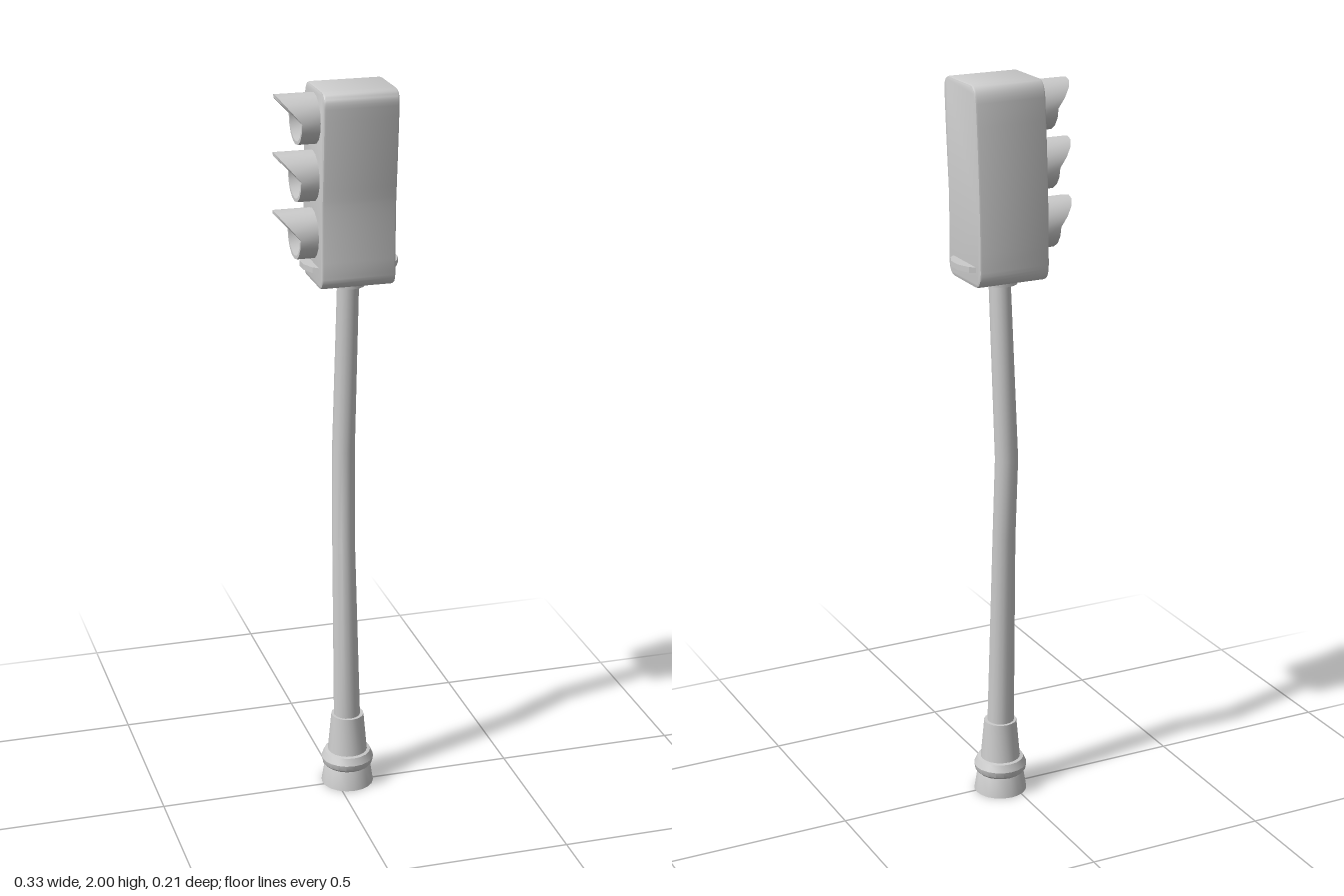
import * as THREE from 'three';
import { toCreasedNormals } from 'three/addons/utils/BufferGeometryUtils.js';

const material = new THREE.MeshStandardMaterial({ color: 0xcccccc });
const openMaterial = new THREE.MeshStandardMaterial({ color: 0xcccccc, side: THREE.DoubleSide });
const AXIS_X = 0.032, AXIS_Z = -0.01;

function addMesh(parent, name, geometry, mat = material) {
  const mesh = new THREE.Mesh(geometry, mat);
  mesh.name = name;
  parent.add(mesh);
  return mesh;
}

function lathe(points, segments) {
  return toCreasedNormals(new THREE.LatheGeometry(points.map(([r, y]) => new THREE.Vector2(r, y)), segments), 0.6);
}

// Tapered pole whose rings follow a bent centre line: [x, y, z, radius]
function poleGeometry() {
  const rings = [
    [0.032, 0.19, -0.01, 0.037], [0.021, 0.75, -0.01, 0.031],
    [0.031, 0.99, -0.046, 0.031], [0.032, 1.47, -0.008, 0.029],
  ];
  const geometry = new THREE.CylinderGeometry(1, 1, 1, 16, rings.length - 1, true);
  const p = geometry.attributes.position;
  for (let i = 0; i < p.count; i++) {
    const [x, y, z, r] = rings[Math.round((p.getY(i) + 0.5) * (rings.length - 1))];
    p.setXYZ(i, x + p.getX(i) * r, y, z + p.getZ(i) * r);
  }
  geometry.computeVertexNormals();
  return toCreasedNormals(geometry, 0.6);
}

// Leaning housing: side outline (-z, y) extruded along x with a small bevel
function housingGeometry() {
  const b = 0.006;
  const s = new THREE.Shape();
  s.moveTo(-0.05, 1.486);
  s.lineTo(0.07, 1.486);
  s.quadraticCurveTo(0.099, 1.486, 0.099, 1.525);
  s.quadraticCurveTo(0.097, 1.72, 0.075, 1.955);
  s.quadraticCurveTo(0.07, 1.994, 0.045, 1.994);
  s.lineTo(-0.075, 1.994);
  s.quadraticCurveTo(-0.104, 1.994, -0.101, 1.96);
  s.quadraticCurveTo(-0.093, 1.84, -0.081, 1.72);
  s.quadraticCurveTo(-0.077, 1.67, -0.079, 1.52);
  s.quadraticCurveTo(-0.079, 1.486, -0.05, 1.486);
  const geometry = new THREE.ExtrudeGeometry(s, {
    depth: 0.198 - 2 * b, bevelThickness: b, bevelSize: b, bevelSegments: 2, curveSegments: 8,
  });
  geometry.rotateY(Math.PI / 2);
  geometry.translate(-0.064 + b, 0, 0);
  return toCreasedNormals(geometry, 0.6);
}

// Hooded tube: the rim reaches further out towards the top
function visorGeometry() {
  const profile = [[0.066, 0], [0.066, 0.054], [0.057, 0.054], [0.057, 0.012]];
  const geometry = new THREE.LatheGeometry(profile.map(([r, y]) => new THREE.Vector2(r, y)), 16);
  const p = geometry.attributes.position;
  for (let i = 0; i < p.count; i++) {
    if (p.getY(i) < 0.03) continue;
    const up = p.getX(i) / Math.hypot(p.getX(i), p.getZ(i));
    p.setY(i, 0.054 + 0.055 * Math.max(0, up));
  }
  geometry.rotateZ(Math.PI / 2);
  return toCreasedNormals(geometry, 0.6);
}

// Thin plate through the housing, with a rounded end on each side
function plateGeometry() {
  const s = new THREE.Shape();
  const end = [[0.13, -0.07], [0.148, -0.055], [0.163, -0.02], [0.163, 0.02], [0.148, 0.055], [0.13, 0.07]];
  const outline = [...end, ...end.map(([x, z]) => [0.07 - x, -z])];
  s.setFromPoints(outline.map(([x, z]) => new THREE.Vector2(x, z)));
  const geometry = new THREE.ExtrudeGeometry(s, { depth: 0.015, bevelEnabled: false });
  geometry.rotateX(-Math.PI / 2);
  return geometry;
}

export function createModel() {
  const model = new THREE.Group();
  model.name = 'trafficLight';

  // Stepped foot, open underneath
  addMesh(model, 'base', lathe([
    [0.073, 0], [0.065, 0.05], [0.063, 0.055], [0.07, 0.062], [0.073, 0.078],
    [0.064, 0.098], [0.055, 0.1], [0.045, 0.21], [0.035, 0.21],
  ], 20), openMaterial).position.set(AXIS_X + 0.001, 0, AXIS_Z);

  addMesh(model, 'pole', poleGeometry(), openMaterial);

  // Collar between pole and housing
  addMesh(model, 'collar', new THREE.CylinderGeometry(0.046, 0.046, 0.03, 16))
    .position.set(AXIS_X, 1.48, AXIS_Z);

  addMesh(model, 'housing', housingGeometry());
  addMesh(model, 'lowerPlate', plateGeometry()).position.set(0, 1.521, -0.012);

  // Three lamps, following the lean of the housing
  [[1.919, 0.009], [1.767, -0.003], [1.613, -0.011]].forEach(([y, z], i) => {
    const lamp = new THREE.Group();
    lamp.name = ['upperLamp', 'middleLamp', 'lowerLamp'][i];
    lamp.position.set(-0.058, y, z);
    addMesh(lamp, 'visor', visorGeometry(), openMaterial);
    const lens = lathe([[0.058, 0], [0.058, 0.012], [0.04, 0.019], [0.02, 0.023], [0, 0.024]], 16);
    addMesh(lamp, 'lens', lens.rotateZ(Math.PI / 2));
    model.add(lamp);
  });

  return model;
}
